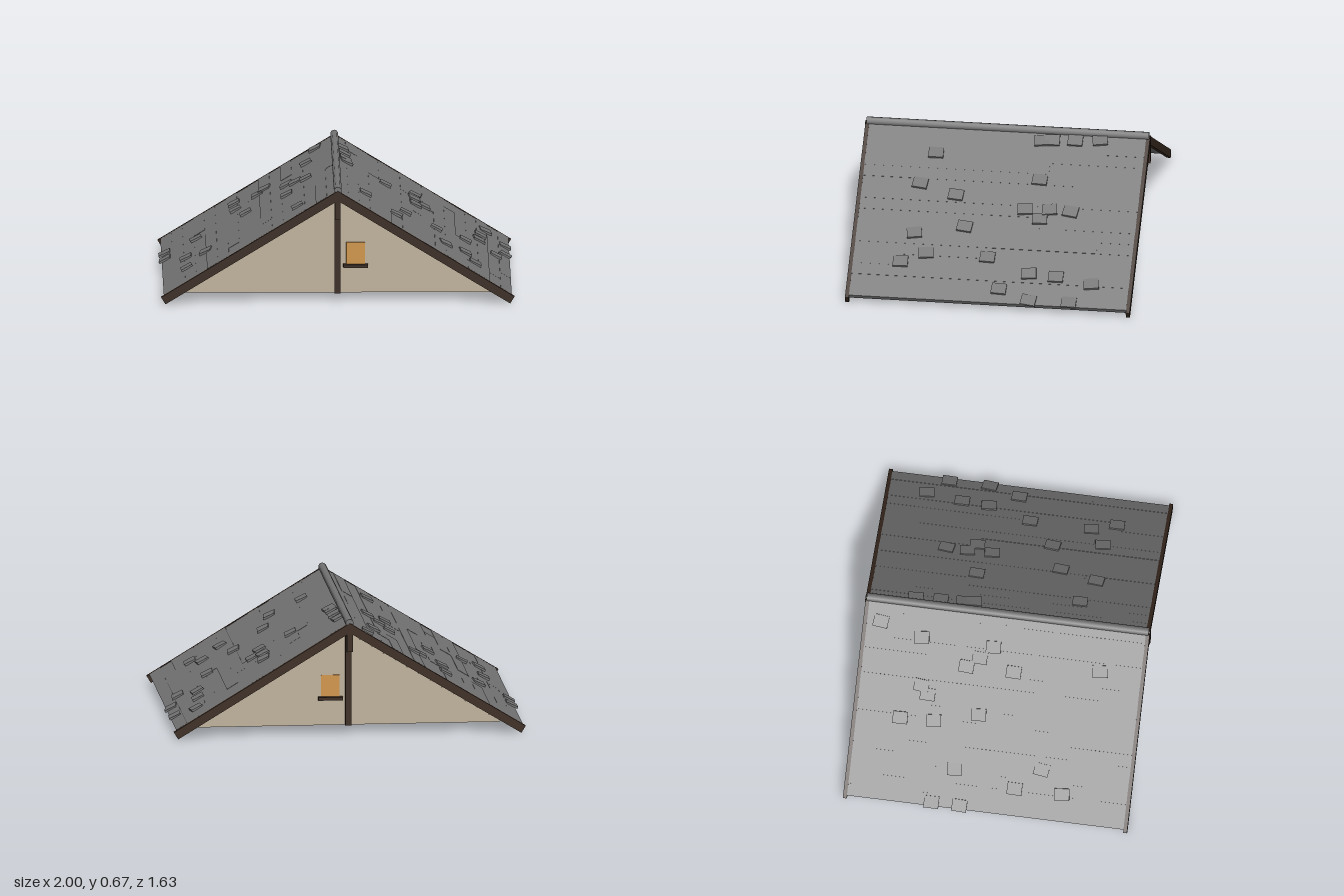
import * as THREE from 'three';

const APEX = 0.655, SLOPE = 0.61, ANGLE = Math.atan(SLOPE);
const LENGTH = 1 / Math.cos(ANGLE);   // slope length, ridge to eave
const HALF = 0.79;                    // half depth of the roof covering

const mat = (name, color) => {
  const m = new THREE.MeshStandardMaterial({ color });
  m.name = name;
  return m;
};

// Loose shingles as [x, z] on each side
const looseRight = [[.04, -.53], [.05, -.39], [.055, -.26], [.06, -.2], [.28, -.215], [.45, -.41],
  [.445, -.29], [.5, -.24], [.45, -.15], [.85, -.575], [.96, -.46], [.82, -.37], [.96, -.23],
  [.81, -.215], [.905, -.055], [.73, .03], [.565, .18], [.39, .25], [.16, .39], [.335, .46],
  [.615, .46], [.78, .52], [.725, .38]];
const looseLeft = [[.11, -.71], [.165, -.47], [.57, -.54], [.565, -.35], [.4, -.44], [.44, -.4],
  [.965, -.31], [.965, -.15], [.79, -.2], [.51, -.1], [.28, -.2], [.23, -.13], [.17, -.06],
  [.28, .07], [.85, .15], [.74, .29], [.85, .42], [.225, .555]];

export function createModel() {
  const slate = mat('slate grey', 0x757575);
  const timber = mat('dark timber', 0x3a2a20);
  const plaster = mat('beige boards', 0xc0b29c);
  const glow = mat('amber window', 0xd0954a);

  const model = new THREE.Group();
  model.name = 'gableRoof';

  let seed = 11;
  const rand = () => (seed = (seed * 16807) % 2147483647) / 2147483647;

  const box = (parent, name, m, w, h, d, x, y, z) => {
    const mesh = new THREE.Mesh(new THREE.BoxGeometry(w, h, d), m);
    mesh.name = name;
    mesh.position.set(x, y, z);
    parent.add(mesh);
    return mesh;
  };

  // Two slopes: local x runs down the slope, local y is its normal
  for (const side of [1, -1]) {
    const half = new THREE.Group();
    half.name = side > 0 ? 'leftSlope' : 'rightSlope';
    half.position.y = APEX;
    half.rotation.y = side > 0 ? 0 : Math.PI;
    const slope = new THREE.Group();
    slope.name = 'slopeFrame';
    slope.rotation.z = -ANGLE;
    half.add(slope);
    model.add(half);

    const roofLength = LENGTH - 0.018;
    box(slope, 'roofDeck', slate, roofLength, 0.022, HALF * 2, roofLength / 2, -0.016, 0);

    // Thin courses, broken at uneven lengths with slight height changes
    const courses = 16, step = roofLength / courses;
    for (let i = 0; i < courses; i++) {
      const cut = (rand() - 0.5) * 1.2;
      for (const [a, b] of [[-HALF, cut], [cut, HALF]]) {
        const h = 0.003 + rand() * 0.003;
        box(slope, 'shingleCourse', slate, step, h, b - a, (i + 0.5) * step, -0.005 + h / 2, (a + b) / 2);
      }
    }

    // Lifted loose shingles
    for (const [x, z] of side > 0 ? looseRight : looseLeft) {
      const s = box(slope, 'looseShingle', slate, 0.07, 0.012, 0.085, x / Math.cos(ANGLE), 0.004, side * z);
      s.rotation.set(0, (rand() - 0.5) * 0.3, 0.05 + rand() * 0.06);
    }

    // Barge boards on both gable ends
    for (const z of [-0.8, 0.8])
      box(slope, 'bargeBoard', timber, LENGTH, 0.047, 0.022, LENGTH / 2, -0.0235, z);
  }

  // Rounded ridge cap
  const ridge = new THREE.Mesh(new THREE.CylinderGeometry(0.023, 0.023, 1.61, 10), slate);
  ridge.name = 'ridgeCap';
  ridge.rotation.x = Math.PI / 2;
  ridge.position.y = APEX;
  model.add(ridge);

  // Gable outline with tops stepping down board by board
  const boards = 13, boardWidth = 0.865 / boards, base = 0.05;
  const top = i => 0.6 - SLOPE * (i + 0.5) * boardWidth;
  const outline = new THREE.Shape();
  outline.moveTo(-0.865, base);
  outline.lineTo(0.865, base);
  for (let i = boards - 1; i >= 0; i--) {
    outline.lineTo((i + 1) * boardWidth, top(i));
    outline.lineTo(i * boardWidth, top(i));
  }
  for (let i = 0; i < boards; i++) {
    if (i > 0) outline.lineTo(-i * boardWidth, top(i));
    outline.lineTo(-(i + 1) * boardWidth, top(i));
  }
  const wallGeometry = new THREE.ExtrudeGeometry(outline, { depth: 0.022, bevelEnabled: false });

  // Gable ends with post, hanging king post, window and sill
  for (const end of [1, -1]) {
    const gable = new THREE.Group();
    gable.name = end > 0 ? 'frontGable' : 'backGable';
    const wall = new THREE.Mesh(wallGeometry, plaster);
    wall.name = 'gableWall';
    wall.position.z = end > 0 ? 0.683 : -0.705;
    gable.add(wall);
    box(gable, 'gablePost', timber, 0.035, 0.56, 0.035, 0, 0.33, end * 0.715);
    box(gable, 'kingPost', timber, 0.033, 0.16, 0.03, 0, 0.57, end * 0.798);
    box(gable, 'window', glow, 0.106, 0.125, 0.008, 0.102, 0.277, end * 0.709);
    box(gable, 'windowSill', timber, 0.14, 0.018, 0.04, 0.102, 0.207, end * 0.722);
    model.add(gable);
  }

  return model;
}
